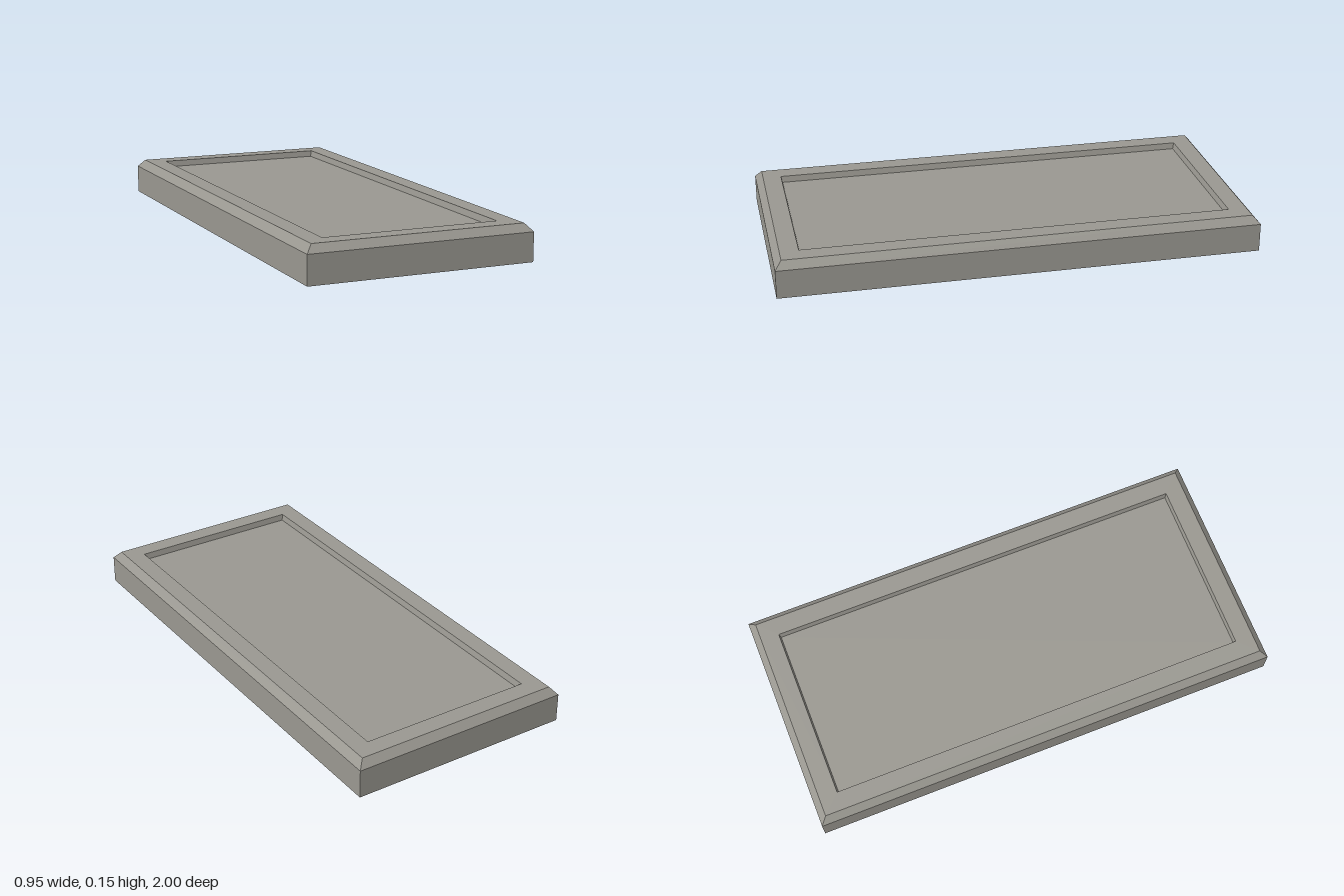
import * as THREE from 'three';

// Rectangular cross-sections of the slab: half width, height, half depth
const sections = [
  [0.475, 0, 1],          // foot
  [0.475, 0.12, 1],       // top of the side walls
  [0.447, 0.152, 0.972],  // outer edge of the rim, after the chamfer
  [0.37, 0.152, 0.895],   // inner edge of the rim
  [0.364, 0.126, 0.889],  // edge of the sunken panel
];

const corners = ([w, y, d]) => [[-w, y, d], [w, y, d], [w, y, -d], [-w, y, -d]];

// Flat-faced mesh from a list of four-cornered faces
function quadMesh(name, quads, material) {
  const points = quads.flatMap(([a, b, c, d]) => [a, b, c, a, c, d]);
  const geometry = new THREE.BufferGeometry();
  geometry.setAttribute('position', new THREE.Float32BufferAttribute(points.flat(), 3));
  geometry.computeVertexNormals();
  const mesh = new THREE.Mesh(geometry, material);
  mesh.name = name;
  return mesh;
}

// Four faces joining one section to the next
function band(lower, upper) {
  const a = corners(lower), b = corners(upper);
  return a.map((p, i) => [p, a[(i + 1) % 4], b[(i + 1) % 4], b[i]]);
}

export function createModel() {
  const group = new THREE.Group();
  group.name = 'framedSlab';
  // Warm stone grey
  const material = new THREE.MeshStandardMaterial({ color: 0x999790, flatShading: true });

  // Side walls, chamfer, flat rim and the inner step
  ['sideWalls', 'chamfer', 'rim', 'recessWalls'].forEach((name, i) =>
    group.add(quadMesh(name, band(sections[i], sections[i + 1]), material)));

  // Sunken panel and underside
  group.add(quadMesh('panel', [corners(sections[4])], material));
  group.add(quadMesh('underside', [corners(sections[0]).reverse()], material));
  return group;
}
